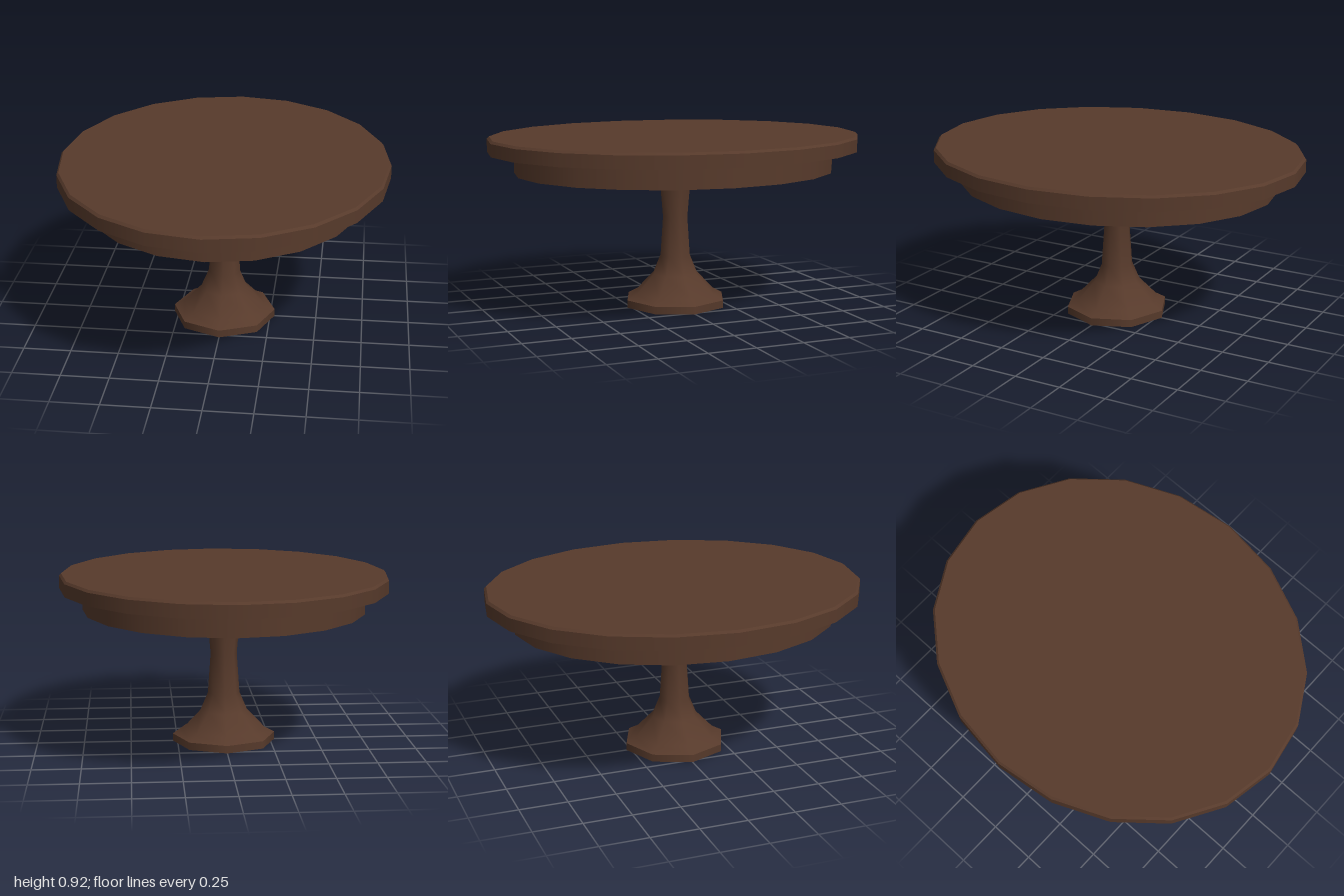
import * as THREE from 'three';

const wood = new THREE.MeshStandardMaterial({ name: 'darkWood', color: 0x573a2b });
const thinWood = wood.clone();
thinWood.side = THREE.DoubleSide; // same brown, for the open apron and pedestal

const SIDES = 20;
const RX = 0.864, RZ = 1, BEVEL = 0.988;
const UNDERSIDE = 0.838, BEVEL_Y = 0.905, TOP = 0.917;

function part(group, name, geometry, material = wood) {
  const mesh = new THREE.Mesh(geometry, material);
  mesh.name = name;
  group.add(mesh);
}

// open oval wall between two heights
function ovalWall(bottom, top, rx, rz, taper = 1) {
  return new THREE.CylinderGeometry(taper, 1, top - bottom, SIDES, 1, true)
    .scale(rx, 1, rz)
    .translate(0, (bottom + top) / 2, 0);
}

// flat oval facing up (1) or down (-1)
function ovalFace(y, rx, rz, facing) {
  return new THREE.CircleGeometry(1, SIDES)
    .rotateX(-facing * Math.PI / 2)
    .scale(rx, 1, rz)
    .translate(0, y, 0);
}

function turned(profile) {
  return new THREE.LatheGeometry(profile.map(([r, y]) => new THREE.Vector2(r, y)), 8);
}

export function createModel() {
  const table = new THREE.Group();
  table.name = 'ovalPedestalTable';

  // table top with a small bevel around its upper edge
  part(table, 'tableTopUnderside', ovalFace(UNDERSIDE, RX, RZ, -1));
  part(table, 'tableTopEdge', ovalWall(UNDERSIDE, BEVEL_Y, RX, RZ));
  part(table, 'tableTopBevel', ovalWall(BEVEL_Y, TOP, RX, RZ, BEVEL));
  part(table, 'tableTopSurface', ovalFace(TOP, RX * BEVEL, RZ * BEVEL, 1));

  // inset apron, an open band under the top
  part(table, 'apron', ovalWall(0.725, UNDERSIDE, 0.746, 0.86), thinWood);

  // turned eight-sided pedestal, hollow from below and reaching the underside
  part(table, 'pedestalColumn', turned([
    [0.275, 0.04], [0.22, 0.07], [0.125, 0.17], [0.085, 0.265],
    [0.07, 0.48], [0.092, 0.727], [0.112, UNDERSIDE],
  ]), thinWood);
  part(table, 'pedestalFoot', turned([[0.275, 0], [0.275, 0.04]]), thinWood);

  return table;
}
